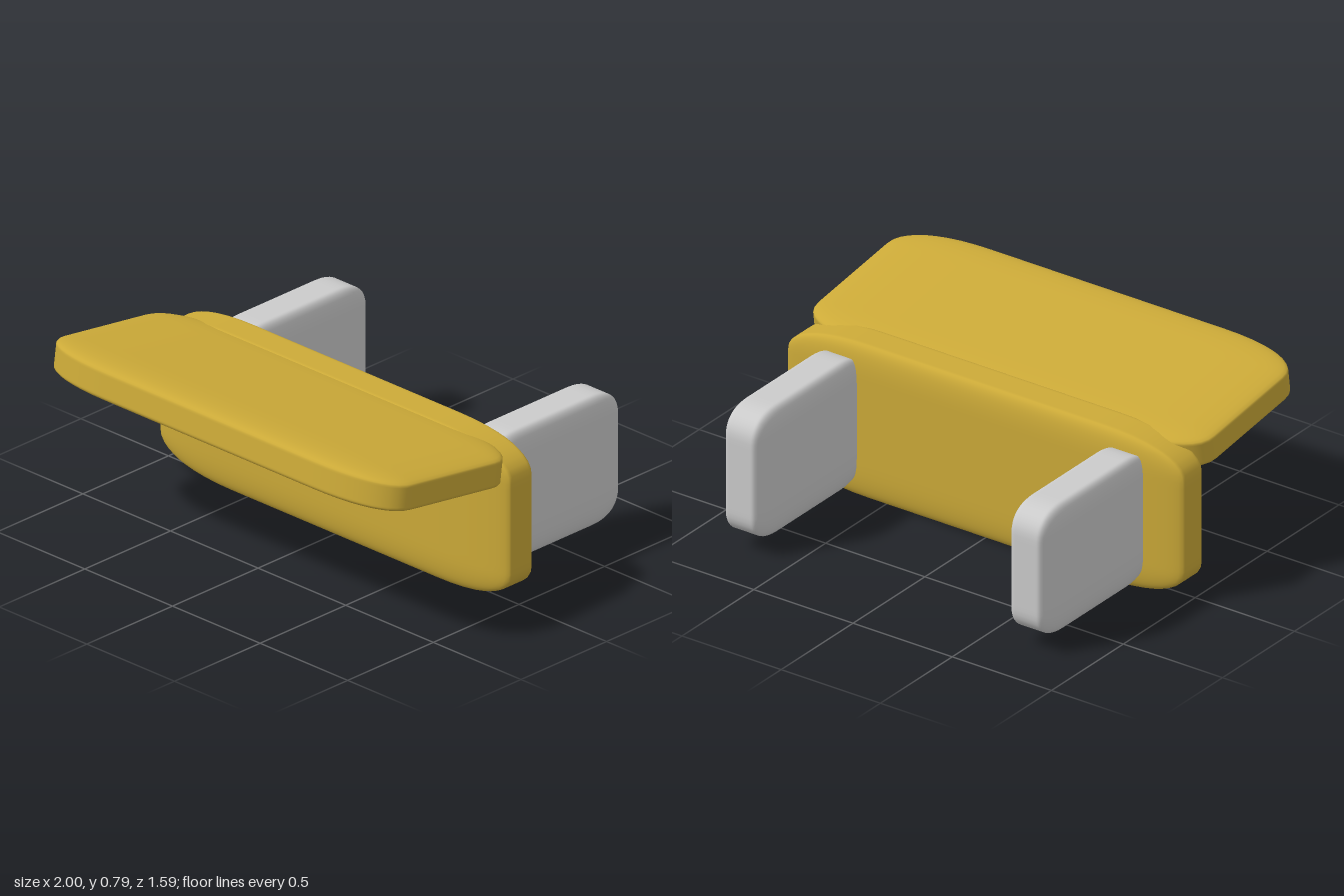
import * as THREE from 'three';
import { mergeVertices } from 'three/addons/utils/BufferGeometryUtils.js';

const ROUND = 0.42; // share of each half-extent taken up by the rounding
const POWER = 2.3; // slightly squarer than a circular corner

// Soft cushion block: a rounded cube stretched to size, so rounding follows each axis
function softBlock(width, height, depth) {
  const box = new THREE.BoxGeometry(2, 2, 2, 24, 24, 24);
  box.deleteAttribute('uv');
  box.deleteAttribute('normal');
  const geometry = mergeVertices(box);
  const pos = geometry.attributes.position;
  const limit = 1 - ROUND;
  const p = new THREE.Vector3(), inner = new THREE.Vector3();
  for (let i = 0; i < pos.count; i++) {
    p.fromBufferAttribute(pos, i);
    inner.copy(p).clampScalar(-limit, limit);
    p.sub(inner);
    const length = p.toArray().reduce((s, c) => s + Math.abs(c) ** POWER, 0) ** (1 / POWER);
    p.multiplyScalar(ROUND / length).add(inner);
    pos.setXYZ(i, p.x * width / 2, p.y * height / 2, p.z * depth / 2);
  }
  geometry.computeVertexNormals();
  return geometry;
}

export function createModel() {
  const group = new THREE.Group();
  const gold = new THREE.MeshStandardMaterial({ color: 0xccaa38 });
  const grey = new THREE.MeshStandardMaterial({ color: 0xcccccc });

  function add(name, geometry, material, x, y, z) {
    const mesh = new THREE.Mesh(geometry, material);
    mesh.name = name;
    mesh.position.set(x, y, z);
    group.add(mesh);
    return mesh;
  }

  // Upright panel
  add('uprightPanel', softBlock(2, 0.705, 0.197), gold, 0, 0.3525, -0.0135);

  // Forward panel, rising gently towards the front
  const panel = add('tiltedPanel', softBlock(2, 0.17, 0.82), gold, 0, 0.666, 0.382);
  panel.rotation.x = -THREE.MathUtils.degToRad(8);

  // Pair of supports behind the upright panel
  const support = softBlock(0.2, 0.585, 0.76);
  for (const side of [-1, 1]) {
    add(side > 0 ? 'leftSupport' : 'rightSupport', support, grey, side * 0.72, 0.357, -0.417);
  }
  return group;
}
